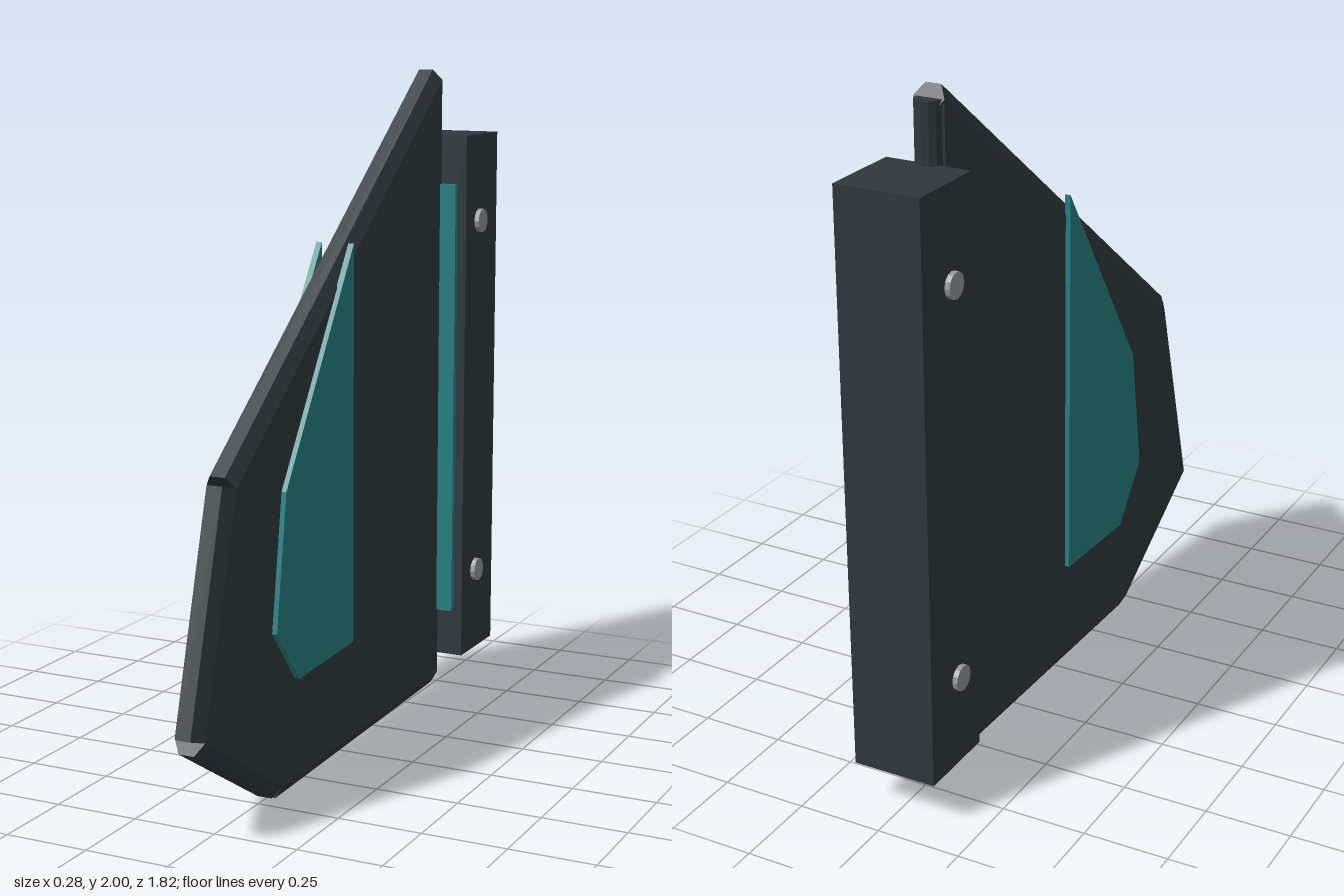
import * as THREE from 'three';

const dark = new THREE.MeshStandardMaterial({ name: 'dark slate', color: 0x2f383e });
const teal = new THREE.MeshStandardMaterial({ name: 'teal', color: 0x267f80 });
const steel = new THREE.MeshStandardMaterial({ name: 'bolt grey', color: 0x92979a });
for (const m of [dark, teal, steel]) m.flatShading = true;

// Plate outline as [z, y], from the top of the hinge round the front to its foot
const OUTLINE = [[-0.65, 1.97], [0.69, 0.95], [0.875, 0.305], [0.44, 0.042], [-0.65, 0.07]];
const PANEL = [[0.01, 1.53], [0.435, 0.89], [0.495, 0.5], [0.36, 0.335], [0.01, 0.35]];

// Slab with a side outline, centred on the given x
function slab(points, thickness, x = 0) {
  const shape = new THREE.Shape(points.map(([z, y]) => new THREE.Vector2(z, y)));
  const geo = new THREE.ExtrudeGeometry(shape, { depth: thickness, bevelEnabled: false });
  return geo.translate(0, 0, -thickness / 2).rotateY(-Math.PI / 2).translate(x, 0, 0);
}

export function createModel() {
  const group = new THREE.Group();
  const add = (name, geo, mat, x = 0, y = 0, z = 0) => {
    const mesh = new THREE.Mesh(geo, mat);
    mesh.name = name;
    mesh.position.set(x, y, z);
    group.add(mesh);
    return mesh;
  };

  // Main fin plate
  add('finPlate', slab(OUTLINE, 0.09), dark);

  // Hexagonal rails along the outer edges, with open notches at the corners
  for (let i = 0; i < OUTLINE.length - 1; i++) {
    const [z0, y0] = OUTLINE[i];
    const [z1, y1] = OUTLINE[i + 1];
    const geo = new THREE.CylinderGeometry(0.046, 0.046, Math.hypot(z1 - z0, y1 - y0), 6, 1, false, Math.PI / 2);
    const rail = add('edgeRail' + (i + 1), geo, dark, 0, (y0 + y1) / 2, (z0 + z1) / 2);
    rail.rotation.x = Math.atan2(z1 - z0, y1 - y0);
  }

  // Raised panel on each side of the fin
  add('leftPanel', slab(PANEL, 0.018, 0.051), teal);
  add('rightPanel', slab(PANEL, 0.018, -0.051), teal);

  // Hinge post and mounting block with its front strip
  add('hingePost', new THREE.CylinderGeometry(0.038, 0.038, 1.9, 12), dark, 0, 1.02, -0.652);
  add('mountBlock', new THREE.BoxGeometry(0.25, 1.67, 0.25), dark, 0, 0.965, -0.785);
  add('mountStrip', new THREE.BoxGeometry(0.195, 1.37, 0.03), teal, 0, 0.965, -0.655);

  // Bolts through the block
  for (const [name, y] of [['upperBolt', 1.53], ['lowerBolt', 0.395]]) {
    const geo = new THREE.CylinderGeometry(0.037, 0.037, 0.28, 12).rotateZ(Math.PI / 2);
    add(name, geo, steel, 0, y, -0.765);
  }
  return group;
}
